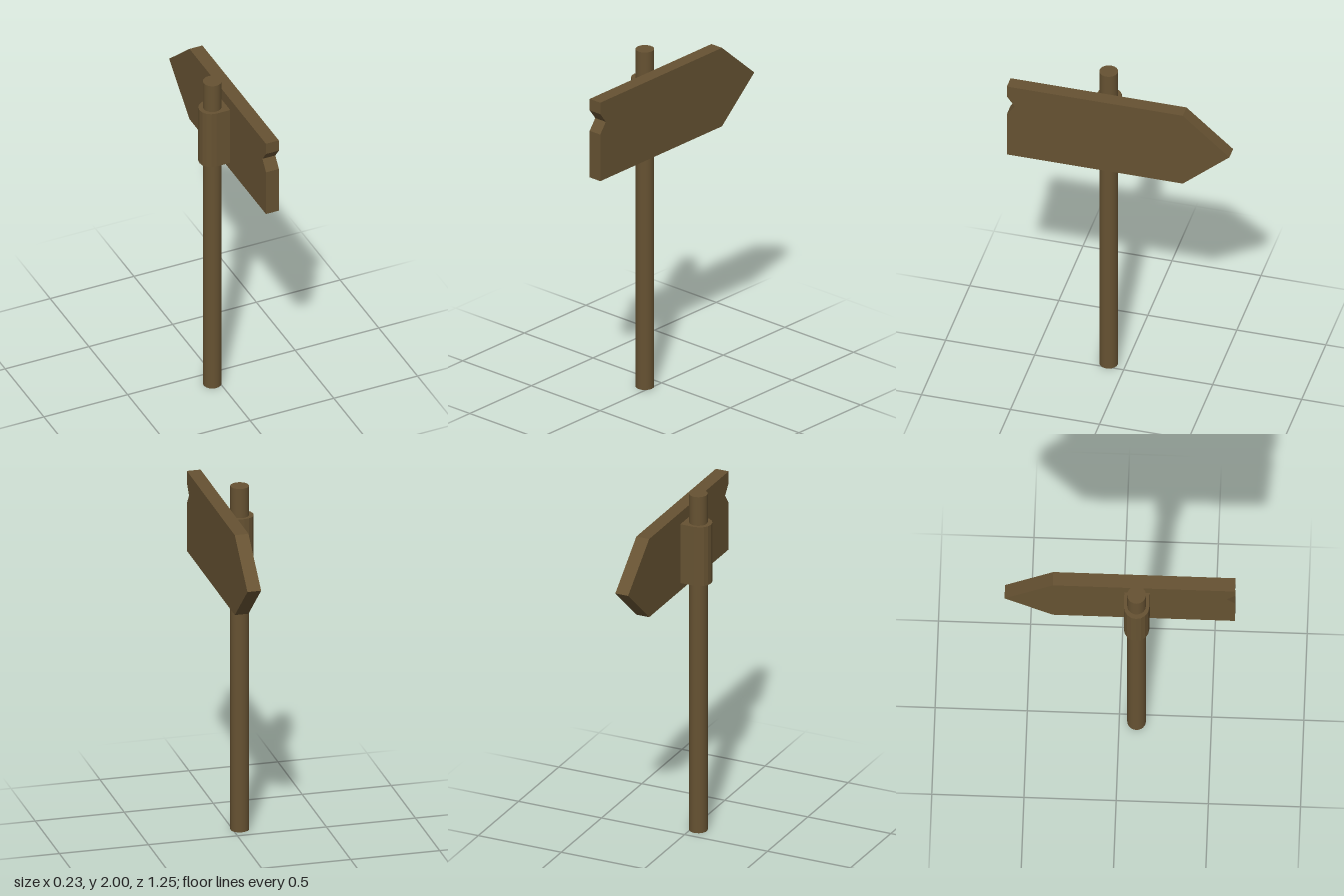
import * as THREE from 'three';

export function createModel() {
  const model = new THREE.Group();
  const wood = new THREE.MeshStandardMaterial({ color: 0x665232 });
  const poleX = -0.038, poleZ = 0.094;

  const add = (name, geometry) => {
    const mesh = new THREE.Mesh(geometry, wood);
    mesh.name = name;
    model.add(mesh);
    return mesh;
  };

  // Round upright pole
  add('pole', new THREE.CylinderGeometry(0.051, 0.051, 2, 24)).position.set(poleX, 1, poleZ);

  // Arrow board, drawn in the (-z, y) plane, with a V notch in its tail
  const outline = new THREE.Shape([
    [-0.625, 1.435], [0.363, 1.435], [0.625, 1.668], [0.363, 1.9],
    [-0.625, 1.9], [-0.625, 1.832], [-0.58, 1.772], [-0.625, 1.711],
  ].map(([u, y]) => new THREE.Vector2(u, y)));
  const board = new THREE.ExtrudeGeometry(outline, { depth: 0.077, bevelEnabled: false });
  board.rotateY(Math.PI / 2);
  add('arrowBoard', board).position.x = 0.037;

  // Sleeve around the pole: half round at the back, flat against the board
  const r = 0.069, cx = -0.046;
  const section = new THREE.Shape();
  section.moveTo(0.037, -r);
  section.lineTo(0.037, r);
  section.lineTo(cx, r);
  section.absarc(cx, 0, r, Math.PI / 2, Math.PI * 1.5, false);
  const sleeve = new THREE.ExtrudeGeometry(section, { depth: 0.35, bevelEnabled: false, curveSegments: 4 });
  sleeve.rotateX(-Math.PI / 2);
  add('mountingSleeve', sleeve).position.set(0, 1.48, poleZ);

  return model;
}
